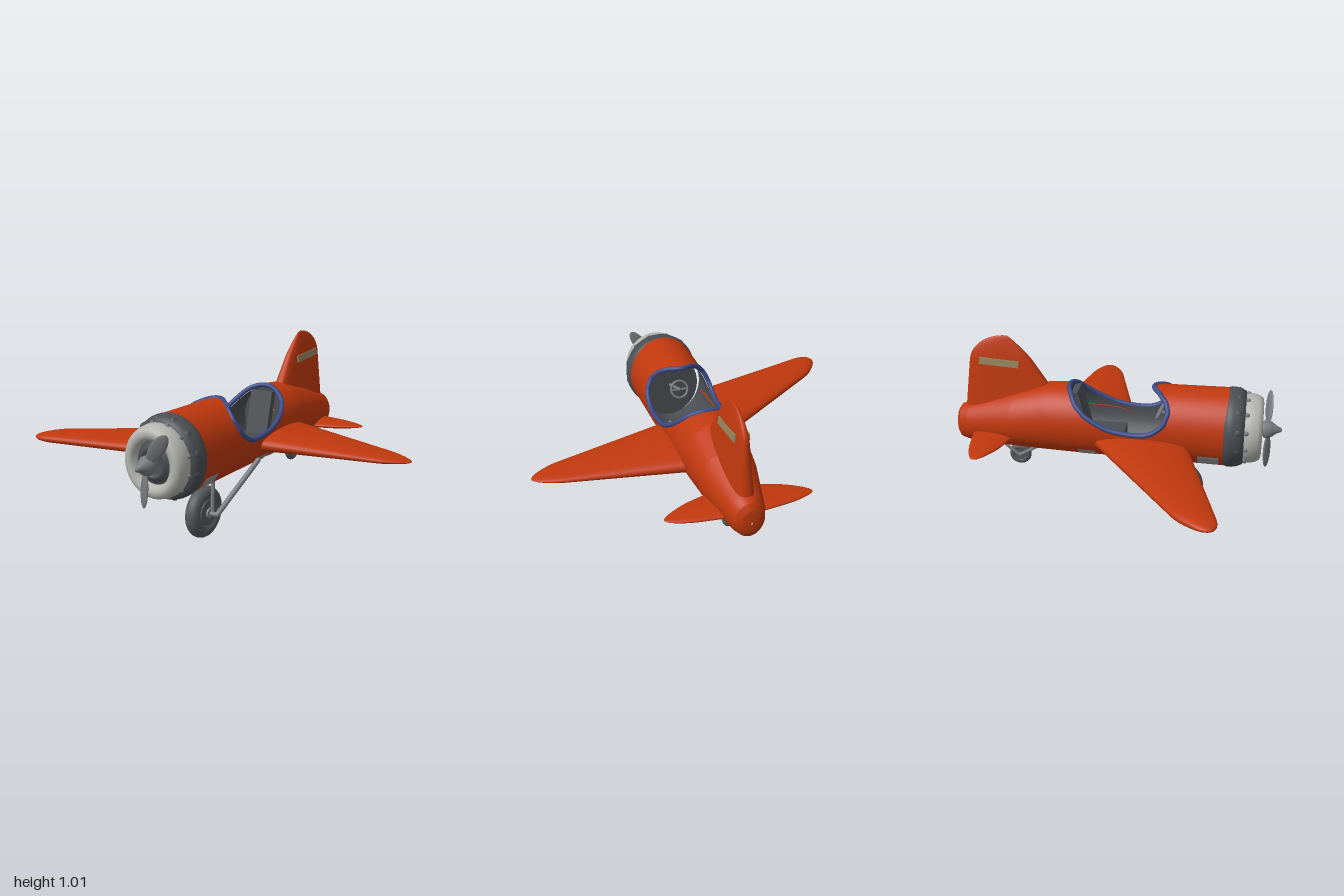
import * as THREE from 'three';
import { ParametricGeometry } from 'three/addons/geometries/ParametricGeometry.js';

const PI = Math.PI;

// Piecewise-linear lookup in rows of [key, value, ...]
function lookup(rows, k, col = 1) {
  if (k <= rows[0][0]) return rows[0][col];
  for (let i = 1; i < rows.length; i++) {
    const a = rows[i - 1], b = rows[i];
    if (k <= b[0]) return a[col] + (b[col] - a[col]) * (k - a[0]) / (b[0] - a[0]);
  }
  return rows[rows.length - 1][col];
}

// Fuselage stations: z, half width, bottom y, top y
const STATIONS = [
  [-0.945, 0.004, 0.45, 0.46], [-0.94, 0.05, 0.39, 0.53], [-0.92, 0.08, 0.362, 0.565],
  [-0.87, 0.1, 0.35, 0.585], [-0.6, 0.16, 0.338, 0.68], [-0.4, 0.182, 0.333, 0.735],
  [-0.25, 0.19, 0.33, 0.745], [0.2, 0.2, 0.325, 0.765], [0.64, 0.205, 0.32, 0.772],
];
// Cockpit opening: height fraction, z of its front and rear edge
const FRONT_EDGE = [[0, 0.17], [0.1, 0.235], [0.3, 0.285], [0.6, 0.31], [0.8, 0.295], [0.95, 0.25], [1, 0.215]];
const REAR_EDGE = [[0, 0.1], [0.05, 0], [0.2, -0.08], [0.4, -0.155], [0.65, -0.215], [0.9, -0.25], [1, -0.27]];
const frontEdge = t => lookup(FRONT_EDGE, Math.sin(t));
const rearEdge = t => lookup(REAR_EDGE, Math.sin(t));

function hullPoint(t, z, k, target) {
  const a = lookup(STATIONS, z, 1), lo = lookup(STATIONS, z, 2), hi = lookup(STATIONS, z, 3);
  return target.set(0.02 - 0.014 * z + k * a * Math.cos(t), (lo + hi) / 2 + k * (hi - lo) / 2 * Math.sin(t), z);
}

// Patch of the hull between two angles and two z limits (functions of angle)
function hullPatch(t0, t1, z0, z1, k = 1, nu = 40, nv = 30, ease = 1) {
  return new ParametricGeometry((u, v, target) => {
    const t = t0 + (t1 - t0) * u, a = z0(t), b = z1(t);
    hullPoint(t, a + (b - a) * Math.pow(v, ease), k, target);
  }, nu, nv);
}

// Tapered, round-tipped surface; each end is [span, leading z, trailing z, offset, half thickness]
function fin(root, tip, tipZ, roundFrom, power, vertical) {
  const flip = !vertical && tip[0] > root[0] ? -1 : 1;
  return new ParametricGeometry((u, v, target) => {
    const s = Math.sin(v * PI / 2);
    const [span, lead, trail, off, half] = root.map((r, i) => r + (tip[i] - r) * s);
    const e = Math.max(0, (s - roundFrom) / (1 - roundFrom));
    const r = Math.max(0.02, Math.sqrt(Math.max(0, 1 - e * e)));
    const ang = flip * u * 2 * PI, sn = Math.sin(ang);
    const z = tipZ + ((lead + trail) / 2 + (lead - trail) / 2 * Math.cos(ang) - tipZ) * r;
    const h = off + half * r * Math.sign(sn) * Math.pow(Math.abs(sn), power);
    if (vertical) target.set(h, span, z); else target.set(span, h, z);
  }, 40, 28);
}

export function createModel() {
  const model = new THREE.Group();
  model.name = 'propellerPlane';
  const mat = (name, color, side = THREE.FrontSide) => {
    const m = new THREE.MeshStandardMaterial({ color, side });
    m.name = name;
    return m;
  };
  const red = mat('redPaint', 0xc0380d);
  const dark = mat('darkGrey', 0x4a4e52, THREE.DoubleSide);
  const tyre = mat('tyreGrey', 0x55585b);
  const mid = mat('metalGrey', 0x777a7e);
  const pale = mat('paleMetal', 0xb4b4b0);
  const blue = mat('blueTrim', 0x3a4a85);
  const panel = mat('panelGrey', 0x929494);
  const tan = mat('tanPlate', 0x96865f);

  const add = (name, geo, material, x = 0, y = 0, z = 0, parent = model) => {
    const m = new THREE.Mesh(geo, material);
    m.name = name;
    m.position.set(x, y, z);
    parent.add(m);
    return m;
  };
  const rod = (name, a, b, r, material = mid) => {
    const curve = new THREE.LineCurve3(new THREE.Vector3(...a), new THREE.Vector3(...b));
    add(name, new THREE.TubeGeometry(curve, 1, r, 10), material);
    for (const p of [a, b]) add(name + 'End', new THREE.SphereGeometry(r, 10, 8), material, ...p);
  };

  // Fuselage: full lower half, upper half split by the cockpit opening
  const at = z => () => z;
  add('lowerFuselage', hullPatch(PI, 2 * PI, at(-0.945), at(0.64), 1, 40, 70, 1.5), red);
  add('rearFuselage', hullPatch(0, PI, at(-0.945), rearEdge, 1, 60, 60, 1.5), red);
  add('frontFuselage', hullPatch(0, PI, frontEdge, at(0.64), 1, 60, 20), red);

  // Cockpit lining, bulkheads and blue rim
  add('lowerLining', hullPatch(PI, 2 * PI, at(-0.32), at(0.45), 0.91), dark);
  add('rearLining', hullPatch(0, PI, at(-0.32), rearEdge, 0.91, 60, 10), dark);
  add('frontLining', hullPatch(0, PI, frontEdge, at(0.45), 0.91, 60, 10), dark);
  for (const z of [-0.31, 0.44]) {
    add('bulkhead', new THREE.CircleGeometry(1, 40), dark, 0.02, 0.54, z).scale.set(0.175, 0.195, 1);
  }
  const rimPoints = [];
  const N = 36;
  for (let i = 0; i <= N; i++) rimPoints.push(hullPoint(PI * i / N, frontEdge(PI * i / N), 0.99, new THREE.Vector3()));
  for (let i = N; i >= 0; i--) rimPoints.push(hullPoint(PI * i / N, rearEdge(PI * i / N), 0.99, new THREE.Vector3()));
  add('cockpitRim', new THREE.TubeGeometry(new THREE.CatmullRomCurve3(rimPoints, true), 200, 0.014, 10, true), blue);

  // Seat and steering wheel
  add('seatBase', new THREE.BoxGeometry(0.14, 0.1, 0.22), dark, 0.035, 0.43, -0.06);
  add('seatBack', new THREE.BoxGeometry(0.14, 0.28, 0.04), dark, 0.03, 0.58, -0.2).rotation.x = -0.25;
  const steering = new THREE.Group();
  steering.name = 'steeringWheel';
  steering.position.set(0.02, 0.61, 0.25);
  steering.rotation.x = 0.4;
  model.add(steering);
  add('steeringRing', new THREE.TorusGeometry(0.05, 0.007, 8, 28), mid, 0, 0, 0, steering);
  add('steeringSpoke', new THREE.BoxGeometry(0.1, 0.01, 0.008), mid, 0, 0, 0, steering);
  rod('steeringColumn', [0.02, 0.61, 0.25], [0.02, 0.55, 0.43], 0.01);

  // Wings, swept differently on each side, and tail surfaces
  add('leftWing', fin([0.185, 0.085, -0.41, 0.483, 0.062], [0.995, -0.12, -0.245, 0.455, 0.014], -0.19, 0.8, 0.8), red);
  add('rightWing', fin([-0.155, 0.425, -0.1, 0.467, 0.056], [-1, 0.66, 0.49, 0.482, 0.028], 0.585, 0.85, 0.8), red);
  add('leftTailplane', fin([0.06, -0.57, -0.835, 0.435, 0.026], [0.43, -0.69, -0.8, 0.435, 0.014], -0.75, 0.5, 0.9), red);
  add('rightTailplane', fin([-0.03, -0.57, -0.835, 0.435, 0.026], [-0.39, -0.68, -0.79, 0.435, 0.014], -0.745, 0.5, 0.9), red);
  add('tailFin', fin([0.58, -0.3, -0.888, 0.033, 0.068], [1.01, -0.585, -0.835, 0.038, 0.02], -0.64, 0.65, 0.6, true), red);

  for (const s of [-1, 1]) {
    // Plate on the fin
    const plate = add('finPlate', new THREE.BoxGeometry(0.009, 0.04, 0.23), tan, 0.036 + s * 0.037, 0.858, -0.675);
    plate.rotation.set(0.06, 0, s * 0.11);
    // Service panels low on the flanks: z range and angle range
    for (const [z0, z1, t0, t1] of [[0.48, 0.6, -0.89, -0.49], [-0.05, 0.055, -0.93, -0.65], [-0.2, -0.1, -0.93, -0.65]]) {
      const [a, b] = s > 0 ? [t0, t1] : [PI - t1, PI - t0];
      add('sidePanel', hullPatch(a, b, at(z0), at(z1), 1.025, 8, 4), panel);
    }
  }

  // Engine cowling, turned around z
  const engine = new THREE.Group();
  engine.name = 'engine';
  engine.position.set(0.013, 0.545, 0);
  engine.scale.x = 0.94;
  model.add(engine);
  const turned = (name, pts, material) => {
    const geo = new THREE.LatheGeometry(pts.map(p => new THREE.Vector2(...p)), 48).rotateX(PI / 2);
    add(name, geo, material, 0, 0, 0, engine);
  };
  turned('darkCowl', [[0.2, 0.6], [0.222, 0.622], [0.23, 0.645], [0.23, 0.67], [0.222, 0.7], [0.21, 0.73], [0.17, 0.735]], dark);
  turned('paleCowl', [[0.17, 0.715], [0.193, 0.725], [0.2, 0.745], [0.198, 0.775], [0.19, 0.805], [0.175, 0.825],
    [0.15, 0.83], [0.125, 0.82], [0.115, 0.775]], pale);
  turned('engineFace', [[0.12, 0.785], [0.1, 0.79], [0.085, 0.81], [0.07, 0.81], [0.06, 0.795], [0.001, 0.795]], dark);
  for (let i = 0; i < 12; i++) {
    const a = (i + 0.5) * PI / 6;
    add('cowlStud', new THREE.SphereGeometry(0.014, 10, 8), mid, 0.196 * Math.cos(a), 0.196 * Math.sin(a), 0.742, engine);
    add('cowlLump', new THREE.SphereGeometry(0.03, 10, 8), dark, 0.2 * Math.cos(a), 0.2 * Math.sin(a), 0.69, engine);
  }

  // Two-bladed propeller with spinner
  turned('spinner', [[0.03, 0.78], [0.03, 0.83], [0.052, 0.84], [0.053, 0.86], [0.042, 0.885], [0.022, 0.91], [0.012, 0.935], [0.001, 0.94]], mid);
  for (const angle of [52, 264]) {
    const arm = new THREE.Group();
    arm.name = 'propellerBlade';
    arm.position.set(0, 0, 0.862);
    arm.rotation.z = (angle - 90) * PI / 180;
    engine.add(arm);
    const blade = add('blade', new THREE.SphereGeometry(1, 20, 14), mid, 0, 0.13, 0, arm);
    blade.scale.set(0.042, 0.1, 0.011);
    blade.rotation.y = 0.45;
  }

  // Wheels: tyre torus, disc and hub, axle along x
  const wheel = (name, x, y, z, r, tube) => {
    const g = new THREE.Group();
    g.name = name;
    g.position.set(x, y, z);
    g.rotation.y = PI / 2;
    model.add(g);
    add('tyre', new THREE.TorusGeometry(r - tube, tube, 16, 40), tyre, 0, 0, 0, g);
    const disc = (n, rad, w, m) => add(n, new THREE.CylinderGeometry(rad, rad, w, 32).rotateX(PI / 2), m, 0, 0, 0, g);
    disc('wheelDisc', r - tube, tube * 1.3, dark);
    disc('wheelHub', r * 0.5, tube * 1.7, tyre);
    disc('hubCap', r * 0.2, tube * 2.3, mid);
  };
  wheel('mainWheel', 0.015, 0.147, 0.365, 0.147, 0.042);
  wheel('tailWheel', 0.03, 0.268, -0.58, 0.065, 0.02);

  // Landing gear struts
  rod('axle', [-0.075, 0.145, 0.365], [0.105, 0.145, 0.365], 0.014);
  for (const s of [-1, 1]) {
    rod('mainStrut', [0.015 + s * 0.09, 0.147, 0.365], [0.01 + s * 0.18, 0.4, 0.08], 0.015);
    rod('forkStrut', [0.015 + s * 0.055, 0.15, 0.36], [0.015 + s * 0.04, 0.35, 0.33], 0.011);
    rod('tailForkFront', [0.03 + s * 0.026, 0.268, -0.58], [0.03 + s * 0.026, 0.345, -0.455], 0.009);
    rod('tailForkRear', [0.03 + s * 0.026, 0.268, -0.58], [0.03 + s * 0.026, 0.355, -0.685], 0.009);
  }
  return model;
}
